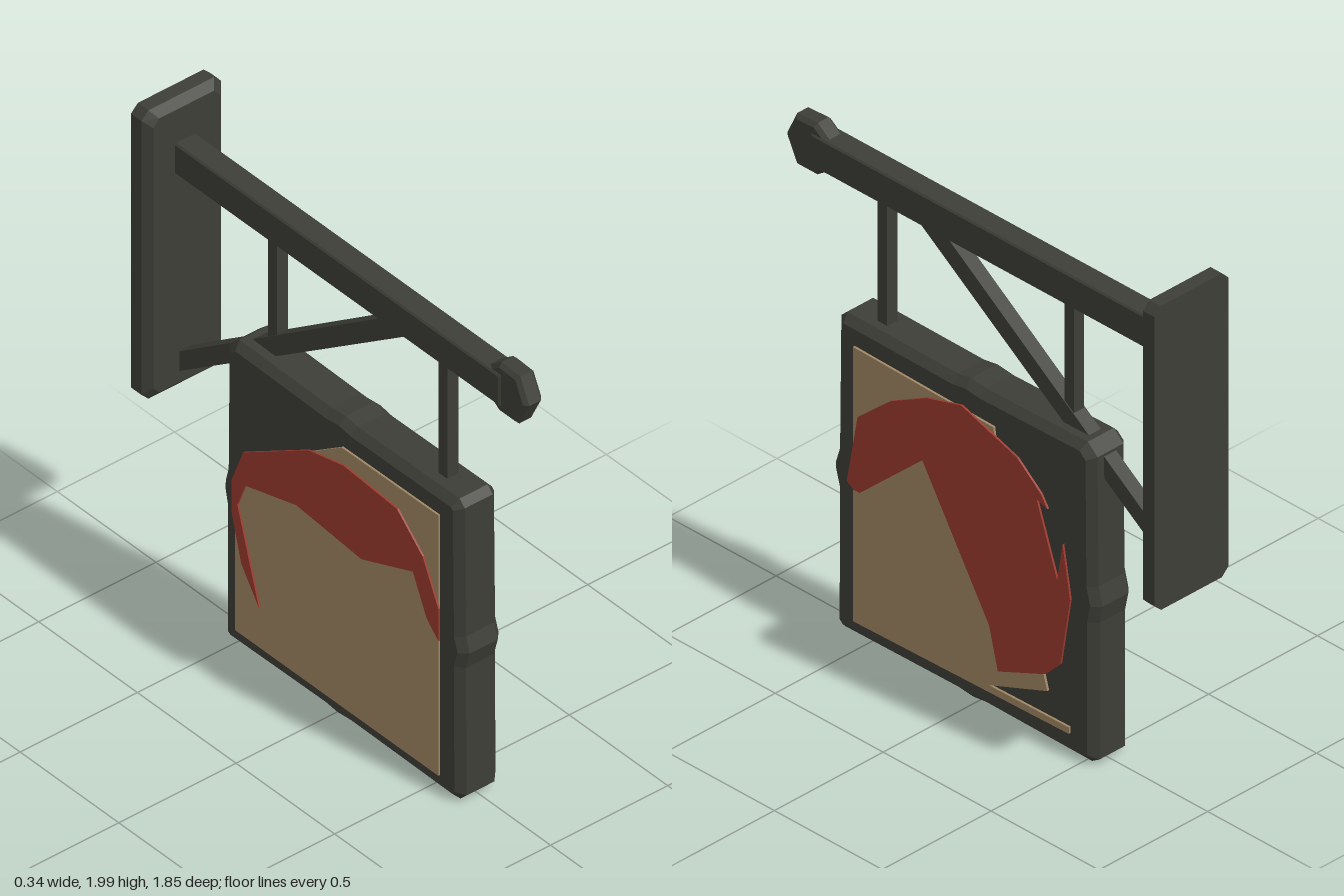
import * as THREE from 'three';

const dark = new THREE.MeshStandardMaterial({ color: 0x3d3e37 });
dark.name = 'darkWood';
const tan = new THREE.MeshStandardMaterial({ color: 0xa08765 });
tan.name = 'tanPaint';
const red = new THREE.MeshStandardMaterial({ color: 0x9c3b2f });
red.name = 'redPaint';

const shapeOf = (pts) => new THREE.Shape(pts.map(([a, b]) => new THREE.Vector2(a, b)));

// Side outline in (z, y), extruded across x between x0 and x1, with an optional chamfer
function slab(name, pts, x0, x1, material, bevel = 0) {
  const geo = new THREE.ExtrudeGeometry(shapeOf(pts), {
    depth: x1 - x0 - 2 * bevel,
    bevelEnabled: bevel > 0,
    bevelThickness: bevel,
    bevelSize: bevel,
    bevelOffset: -bevel,
    bevelSegments: 1,
  });
  geo.rotateY(-Math.PI / 2);
  geo.translate(x1 - bevel, 0, 0);
  const mesh = new THREE.Mesh(geo, material);
  mesh.name = name;
  return mesh;
}

// Wall plate: clipped-corner board whose front face is drawn in to form a chamfer
function wallPlate() {
  const w = 0.17, y0 = 0.82, y1 = 2, c = 0.03;
  const geo = new THREE.ExtrudeGeometry(shapeOf([
    [-w + c, y0], [w - c, y0], [w, y0 + c], [w, y1 - c],
    [w - c, y1], [-w + c, y1], [-w, y1 - c], [-w, y0 + c],
  ]), { depth: 0.08, steps: 3, bevelEnabled: false });
  const p = geo.attributes.position, mid = (y0 + y1) / 2;
  for (let i = 0; i < p.count; i++) {
    if (p.getZ(i) > 0.07) {
      p.setX(i, p.getX(i) * 0.83);
      p.setY(i, mid + (p.getY(i) - mid) * 0.95);
    }
  }
  geo.computeVertexNormals();
  geo.translate(0, 0, -0.925);
  const mesh = new THREE.Mesh(geo, dark);
  mesh.name = 'wallPlate';
  return mesh;
}

export function createModel() {
  const sign = new THREE.Group();
  sign.name = 'hangingSign';

  // Bracket: plate, beam, end knob and brace
  sign.add(wallPlate());
  sign.add(slab('beam', [[-0.86, 1.71], [0.8, 1.71], [0.8, 1.835], [-0.86, 1.835]], -0.05, 0.042, dark, 0.006));
  sign.add(slab('endKnob', [
    [0.925, 1.775], [0.88, 1.87], [0.785, 1.875], [0.73, 1.835],
    [0.73, 1.715], [0.785, 1.675], [0.875, 1.675],
  ].reverse(), -0.042, 0.036, dark, 0.014));
  sign.add(slab('brace', [[-0.86, 0.885], [0.33, 1.72], [0.2, 1.72], [-0.86, 0.965]], -0.03, 0.025, dark));

  // Hanging rods
  for (const z of [0.485, -0.38]) {
    sign.add(slab('hangingRod', [[z - 0.022, 1.2], [z + 0.022, 1.2], [z + 0.022, 1.72], [z - 0.022, 1.72]], -0.025, 0.022, dark));
  }

  // Board with clipped corners and a small swelling at the middle of each edge
  sign.add(slab('board', [
    [-0.52, 0.01], [-0.03, 0.015], [0.03, 0.008], [0.1, 0.015], [0.62, 0.01], [0.65, 0.04],
    [0.648, 0.56], [0.667, 0.63], [0.648, 0.69], [0.642, 1.21], [0.615, 1.235],
    [0.1, 1.23], [0.04, 1.24], [-0.03, 1.232], [-0.5, 1.24], [-0.545, 1.2],
    [-0.55, 0.7], [-0.568, 0.63], [-0.553, 0.56], [-0.553, 0.03],
  ], -0.092, 0.083, dark, 0.028));

  // Painted right face: worn tan ground with a red arch
  sign.add(slab('rightGround', [
    [-0.45, 0.1], [0.55, 0.08], [0.55, 1.145], [-0.1, 1.13], [-0.12, 1],
    [-0.2, 0.6], [-0.33, 0.29], [-0.35, 0.22], [-0.08, 0.12], [-0.45, 0.125],
  ], 0.084, 0.093, tan));
  sign.add(slab('rightArch', [
    [0.57, 0.62], [0.54, 0.6], [0.51, 0.6], [0.22, 0.86], [-0.09, 0.36], [-0.13, 0.2],
    [-0.35, 0.29], [-0.42, 0.36], [-0.465, 0.63], [-0.43, 0.83], [-0.405, 0.68],
    [-0.31, 0.95], [-0.36, 0.935], [-0.33, 0.98], [-0.22, 1.07], [0.04, 1.155],
    [0.2, 1.11], [0.37, 1.02], [0.52, 0.89],
  ], 0.094, 0.102, red));

  // Painted left face: fuller tan ground with a lower red band
  sign.add(slab('leftGround', [
    [-0.48, 0.08], [0.55, 0.08], [0.55, 1.145], [0.06, 1.14], [-0.1, 1.03], [-0.43, 0.8], [-0.48, 0.7],
  ], -0.1, -0.091, tan));
  sign.add(slab('leftBand', [
    [-0.49, 0.69], [-0.43, 0.84], [-0.1, 1.04], [0.08, 1.08], [0.35, 1.06], [0.48, 0.94],
    [0.56, 0.77], [0.56, 0.64], [0.5, 0.7], [0.43, 0.85], [0.17, 0.75], [-0.16, 0.78],
    [-0.42, 0.71], [-0.46, 0.61], [-0.35, 0.25], [-0.44, 0.38], [-0.49, 0.57],
  ], -0.108, -0.101, red));

  return sign;
}
